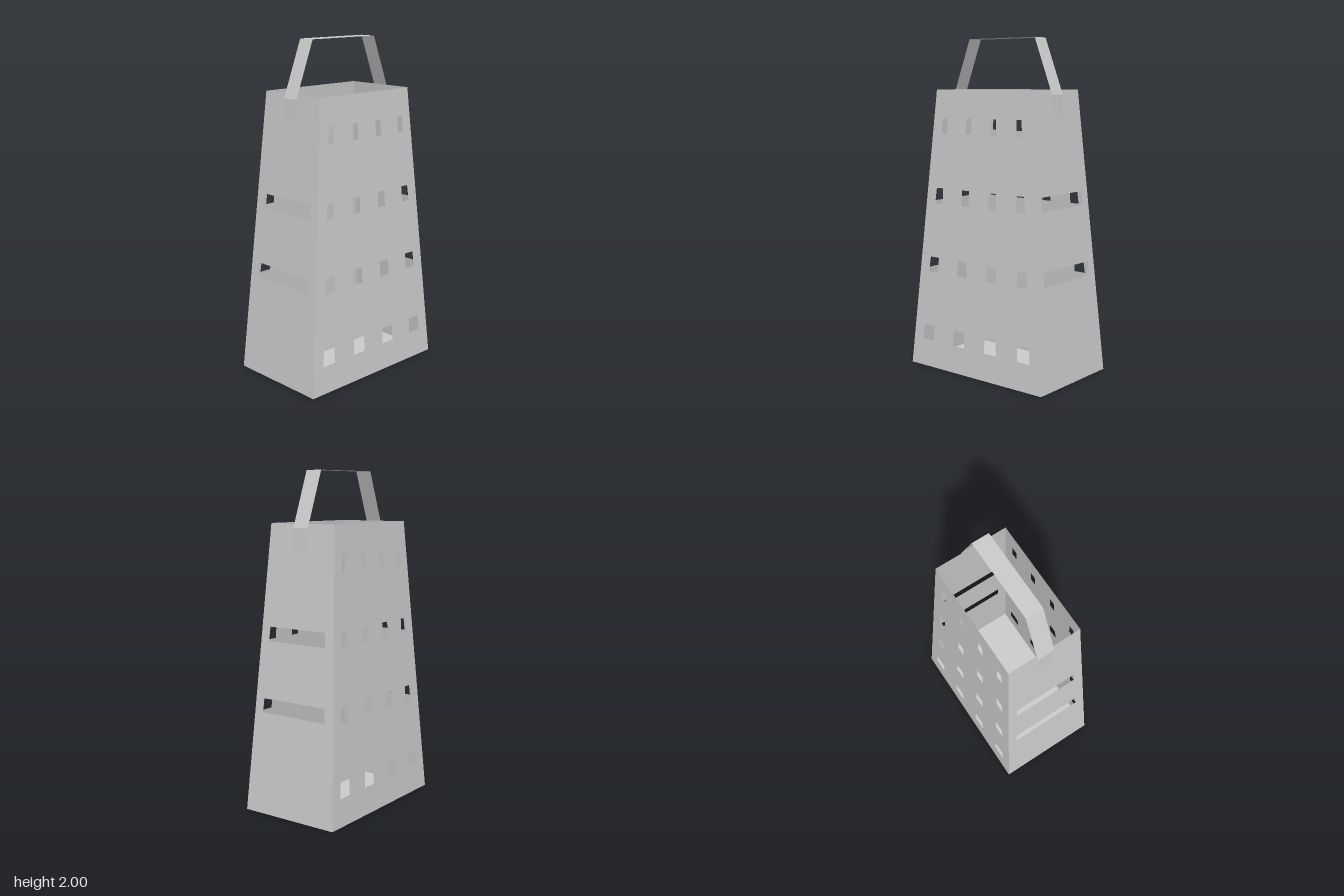
import * as THREE from 'three';

const H = 1.7;                          // body height
const BASE = { x: 0.506, z: 0.318 };    // half sizes at the floor
const RIM = { x: 0.357, z: 0.226 };     // half sizes at the rim
const halfAt = (axis, y) => THREE.MathUtils.lerp(BASE[axis], RIM[axis], y / H);

const material = new THREE.MeshStandardMaterial({
  color: 0xcccccc, flatShading: true, side: THREE.DoubleSide,
});

function part(name, geometry) {
  const mesh = new THREE.Mesh(geometry, material);
  mesh.name = name;
  return mesh;
}

const points = (list) => list.map(([x, y]) => new THREE.Vector2(x, y));

// Tapered opening centred at (cx, cy) that leans along with the wall
function opening(axis, frac, cy, height, widthLow, widthHigh) {
  const y0 = cy - height / 2, y1 = cy + height / 2;
  const x0 = frac * halfAt(axis, y0), x1 = frac * halfAt(axis, y1);
  return new THREE.Path(points([
    [x0 - widthLow / 2, y0], [x1 - widthHigh / 2, y1],
    [x1 + widthHigh / 2, y1], [x0 + widthLow / 2, y0],
  ]));
}

// Trapezoid sheet with openings, leaned inwards towards the rim
function wall(axis, depthAxis, holes) {
  const shape = new THREE.Shape(points([
    [-BASE[axis], 0], [BASE[axis], 0], [RIM[axis], H], [-RIM[axis], H],
  ]));
  shape.holes.push(...holes);
  const geometry = new THREE.ShapeGeometry(shape);
  const pos = geometry.attributes.position;
  for (let i = 0; i < pos.count; i++) pos.setZ(i, halfAt(depthAxis, pos.getY(i)));
  geometry.computeVertexNormals();
  return geometry;
}

export function createModel() {
  const model = new THREE.Group();
  model.name = 'grater';

  // Wide faces: four rows of four small holes, shrinking upwards
  const gratingHoles = [];
  for (let row = 0; row < 4; row++) {
    const y = (H * (row + 0.5)) / 4;
    const width = 0.096 - 0.0365 * y;
    for (const frac of [-0.757, -0.252, 0.252, 0.757]) {
      gratingHoles.push(opening('x', frac, y, 0.094, width * 1.06, width * 0.92));
    }
  }
  const wide = wall('x', 'z', gratingHoles);

  // Narrow faces: two long slicing slots
  const narrow = wall('z', 'x', [
    opening('z', 0, 0.64, 0.084, 0.454, 0.442),
    opening('z', 0, 1.062, 0.084, 0.408, 0.398),
  ]);

  const walls = [['frontWall', wide], ['leftWall', narrow], ['backWall', wide], ['rightWall', narrow]];
  walls.forEach(([name, geometry], i) => {
    const mesh = part(name, geometry);
    mesh.rotation.y = (i * Math.PI) / 2;
    model.add(mesh);
  });

  // Closed bottom
  const floor = new THREE.PlaneGeometry(BASE.x * 2, BASE.z * 2);
  floor.rotateX(Math.PI / 2);
  model.add(part('floor', floor));

  // Handle: a bent strip whose ends lie against the narrow walls
  const profile = [
    [-0.379, 1.54], [-0.372, 1.675], [-0.247, 2],
    [0.247, 2], [0.372, 1.675], [0.379, 1.54],
  ];
  const strip = new THREE.PlaneGeometry(1, 0.104, profile.length - 1, 1);
  strip.rotateX(-Math.PI / 2);
  const pos = strip.attributes.position;
  for (let i = 0; i < pos.count; i++) {
    const [x, y] = profile[i % profile.length];
    pos.setXY(i, x, y);
  }
  strip.computeVertexNormals();
  model.add(part('handle', strip));

  return model;
}
